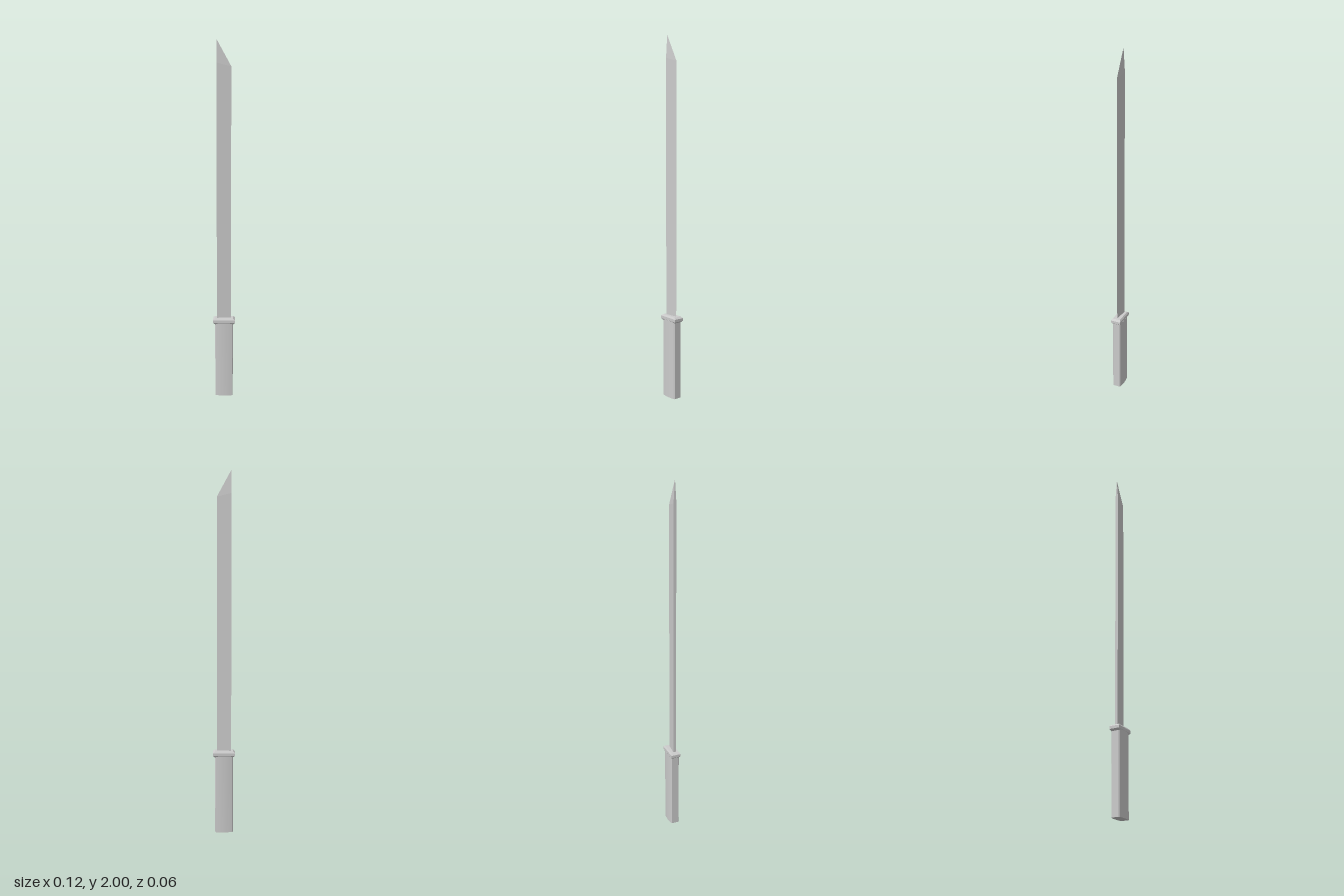
import * as THREE from 'three';
import { ConvexGeometry } from 'three/addons/geometries/ConvexGeometry.js';
import { toCreasedNormals } from 'three/addons/utils/BufferGeometryUtils.js';

const material = new THREE.MeshStandardMaterial({ color: 0xcccccc });

function part(name, geometry) {
  const mesh = new THREE.Mesh(geometry, material);
  mesh.name = name;
  return mesh;
}

// Four corners of a horizontal rectangle at height y
function rectangle(y, halfX, halfZ) {
  return [[1, 1], [1, -1], [-1, 1], [-1, -1]].map(
    ([sx, sz]) => new THREE.Vector3(sx * halfX, y, sz * halfZ));
}

// Grip: flat narrow sides, small chamfers and gently bulging broad faces
function gripGeometry(height) {
  const s = new THREE.Shape();
  s.moveTo(0.05, -0.02);
  s.lineTo(0.05, 0.02);
  s.lineTo(0.045, 0.024);
  s.quadraticCurveTo(0, 0.032, -0.045, 0.024);
  s.lineTo(-0.05, 0.02);
  s.lineTo(-0.05, -0.02);
  s.lineTo(-0.045, -0.024);
  s.quadraticCurveTo(0, -0.032, 0.045, -0.024);
  s.closePath();
  const g = new THREE.ExtrudeGeometry(s, { depth: height, bevelEnabled: false, curveSegments: 8 });
  g.rotateX(-Math.PI / 2);
  return toCreasedNormals(g, 0.4);
}

// Guard: a block chamfered around its upper and lower rims
function guardGeometry() {
  return new ConvexGeometry([
    ...rectangle(0.438, 0.051, 0.023),
    ...rectangle(0.447, 0.0615, 0.028),
    ...rectangle(0.462, 0.0615, 0.028),
    ...rectangle(0.471, 0.05, 0.022),
  ]);
}

// Blade: a wedge with a thick spine at -x, a sharp edge at +x and a slanted point
function bladeGeometry() {
  const points = [new THREE.Vector3(-0.04, 2, 0)];
  for (const [spineY, edgeY] of [[0.46, 0.46], [1.88, 1.86]]) {
    points.push(
      new THREE.Vector3(-0.04, spineY, 0.008),
      new THREE.Vector3(-0.04, spineY, -0.008),
      new THREE.Vector3(0.038, edgeY, 0));
  }
  return new ConvexGeometry(points);
}

export function createModel() {
  const sword = new THREE.Group();
  sword.name = 'sword';
  sword.add(
    part('grip', gripGeometry(0.445)),
    part('guard', guardGeometry()),
    part('blade', bladeGeometry()));
  return sword;
}
